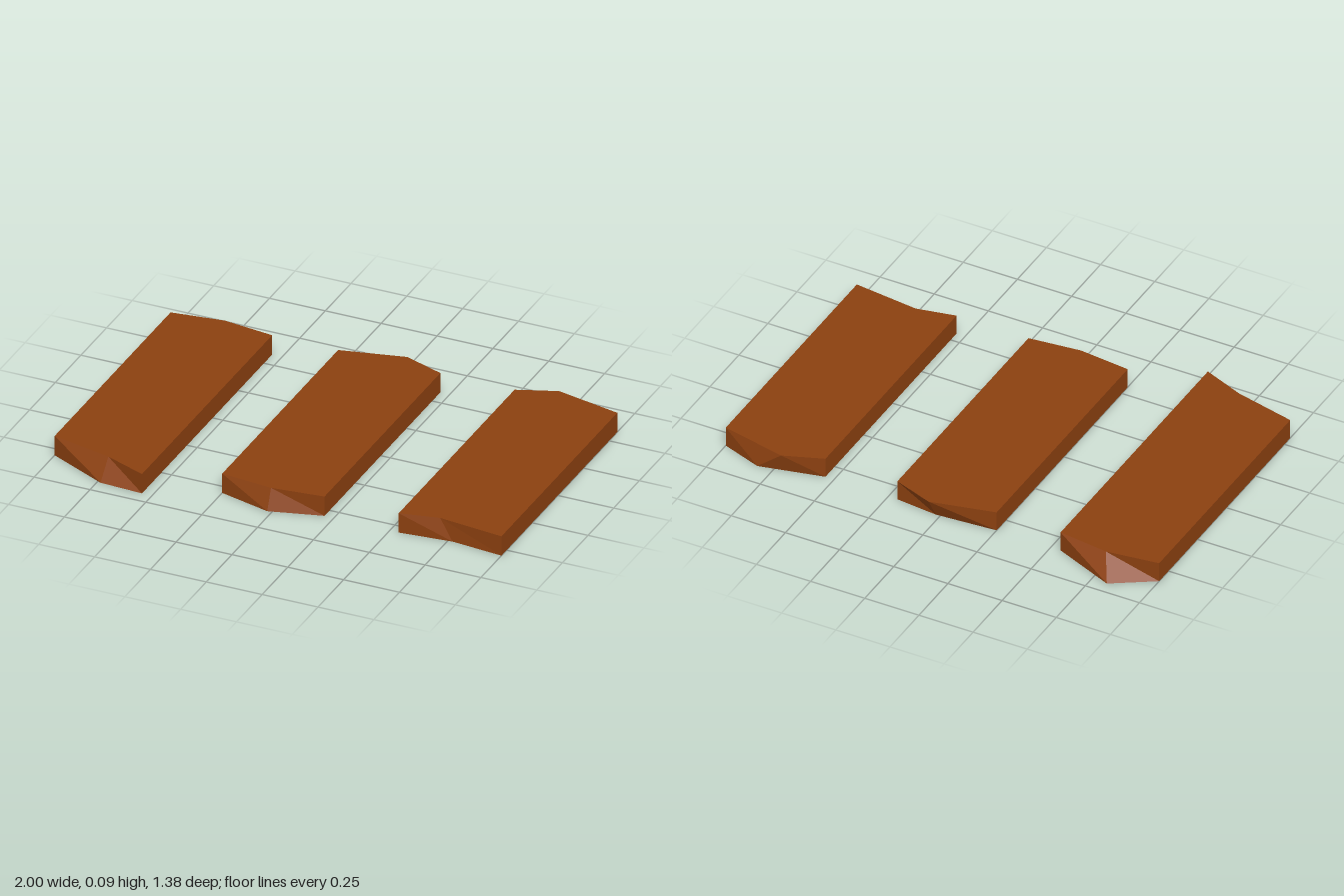
import * as THREE from 'three';

const THICK = 0.09;

// Each plank is lofted through three sections: left edge, ridge, right edge.
// A section lists [x, z] for back top, front top, front bottom, back bottom.
function plankGeometry(sections) {
  const heights = [THICK, THICK, 0, 0];
  const points = sections.map(s => s.map(([x, z], k) => [x, heights[k], z]));
  const pos = [];
  const quad = (a, b, c, d) => pos.push(...a, ...b, ...c, ...a, ...c, ...d);
  for (let s = 0; s < 2; s++) {
    for (let k = 0; k < 4; k++) {
      const n = (k + 1) % 4;
      quad(points[s][k], points[s][n], points[s + 1][n], points[s + 1][k]);
    }
  }
  // Straight long sides
  const [l, , r] = points;
  quad(l[3], l[2], l[1], l[0]);
  quad(r[0], r[1], r[2], r[3]);
  const geo = new THREE.BufferGeometry();
  geo.setAttribute('position', new THREE.Float32BufferAttribute(pos, 3));
  geo.computeVertexNormals();
  return geo;
}

// Long edge: the same vertical line at each end
const edge = (x, back, front) => [[x, back], [x, front], [x, front], [x, back]];

export function createModel() {
  const model = new THREE.Group();
  model.name = 'planks';
  const wood = new THREE.MeshStandardMaterial({ color: 0x8b4010, flatShading: true });

  // Roughly hewn ends: ridge points differ on the top and the underside
  const planks = [
    {
      name: 'rightPlank',
      sections: [
        edge(-1, -0.58, 0.55),
        [[-0.77, -0.61], [-0.73, 0.615], [-0.735, 0.68], [-0.82, -0.695]],
        edge(-0.545, -0.58, 0.69),
      ],
    },
    {
      name: 'middlePlank',
      sections: [
        edge(-0.25, -0.58, 0.55),
        [[0.03, -0.645], [-0.02, 0.575], [-0.02, 0.612], [0.02, -0.6]],
        edge(0.208, -0.58, 0.55),
      ],
    },
    {
      name: 'leftPlank',
      sections: [
        edge(0.54, -0.58, 0.55),
        [[0.71, -0.645], [0.71, 0.515], [0.77, 0.527], [0.82, -0.645]],
        edge(1, -0.58, 0.55),
      ],
    },
  ];

  for (const { name, sections } of planks) {
    const mesh = new THREE.Mesh(plankGeometry(sections), wood);
    mesh.name = name;
    model.add(mesh);
  }
  return model;
}
